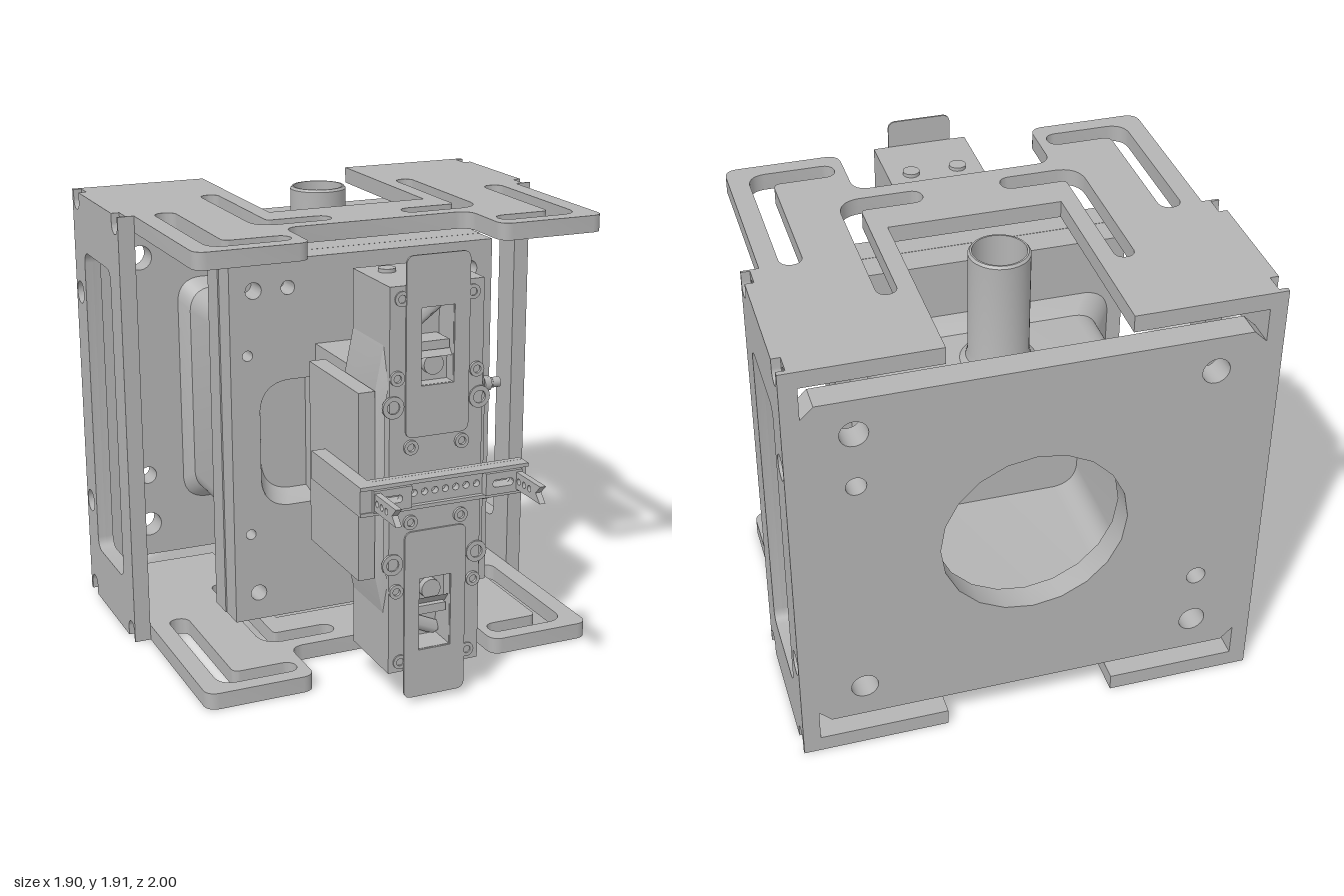
import * as THREE from 'three';
import { toCreasedNormals } from 'three/addons/utils/BufferGeometryUtils.js';

const MID = 0.94; // height of the horizontal symmetry plane

export function createModel() {
  const root = new THREE.Group();
  root.name = 'opticalMount';
  const metal = new THREE.MeshStandardMaterial({ color: 0xb4b4b4, side: THREE.DoubleSide });
  metal.name = 'grey metal';

  const add = (name, geo, x = 0, y = 0, z = 0) => {
    const m = new THREE.Mesh(geo, metal);
    m.name = name;
    m.position.set(x, y, z);
    root.add(m);
    return m;
  };
  // box from its limits
  const box = (name, x0, x1, y0, y1, z0, z1) =>
    add(name, new THREE.BoxGeometry(x1 - x0, y1 - y0, z1 - z0), (x0 + x1) / 2, (y0 + y1) / 2, (z0 + z1) / 2);
  // closed outline from [x, y, cornerRadius] points, always anticlockwise
  const poly = (points) => {
    const p = points.map(([x, y, r = 0]) => ({ v: new THREE.Vector2(x, y), r }));
    if (THREE.ShapeUtils.area(p.map((q) => q.v)) < 0) p.reverse();
    const s = new THREE.Shape();
    p.forEach(({ v, r }, i) => {
      const toward = (o) => v.clone().add(o.clone().sub(v).setLength(r));
      const a = toward(p[(i + p.length - 1) % p.length].v), b = toward(p[(i + 1) % p.length].v);
      if (i === 0) s.moveTo(a.x, a.y); else s.lineTo(a.x, a.y);
      if (r) s.quadraticCurveTo(v.x + (a.x + b.x - 2 * v.x) * 0.08, v.y + (a.y + b.y - 2 * v.y) * 0.08, b.x, b.y);
    });
    s.closePath();
    return s;
  };
  const rect = (x0, x1, y0, y1, r = 0) => poly([[x0, y0, r], [x1, y0, r], [x1, y1, r], [x0, y1, r]]);
  const circle = (x, y, r) => new THREE.Shape().absarc(x, y, r, 0, Math.PI * 2, false);
  const extrude = (shape, depth, holes = []) => {
    shape.holes.push(...holes);
    return toCreasedNormals(new THREE.ExtrudeGeometry(shape, { depth, bevelEnabled: false, curveSegments: 10 }), 0.6);
  };
  // sloping band between two outlines with equal point counts
  const band = (a, z0, b, z1) => {
    const pa = a.getPoints(8), pb = b.getPoints(8), pos = [], idx = [];
    pa.forEach((p, i) => {
      pos.push(p.x, p.y, z0, pb[i].x, pb[i].y, z1);
      if (i) idx.push(2 * i - 2, 2 * i, 2 * i - 1, 2 * i, 2 * i + 1, 2 * i - 1);
    });
    const g = new THREE.BufferGeometry();
    g.setAttribute('position', new THREE.Float32BufferAttribute(pos, 3));
    g.setIndex(idx);
    return toCreasedNormals(g, 0.6);
  };
  // cylinder between two points
  const rod = (name, from, to, r, sides = 24) => {
    const a = new THREE.Vector3(...from), b = new THREE.Vector3(...to), d = b.clone().sub(a);
    const m = add(name, new THREE.CylinderGeometry(r, r, d.length(), sides));
    m.position.copy(a).lerp(b, 0.5);
    m.quaternion.setFromUnitVectors(new THREE.Vector3(0, 1, 0), d.normalize());
    return m;
  };
  const flip = (y, s) => MID + s * (y - MID);

  // top and bottom forked plates, drawn as x and -z
  const half = [[0.35, 1], [0.88, 1], [0.88, -0.43, 0.05], [0.41, -0.43, 0.05], [0.41, -0.14, 0.06]];
  const forkOutline = [...half, ...half.map(([x, y, r]) => [-x, y, r]).reverse(), [-0.35, 0.17], [0.35, 0.17]];
  const forkSlots = [];
  for (const s of [-1, 1]) {
    forkSlots.push(
      poly([[0.71, 0.33, 0.044], [0.8, 0.33, 0.044], [0.8, -0.36, 0.07], [0.45, -0.36, 0.044],
        [0.45, -0.27, 0.044], [0.71, -0.27, 0.03]].map(([x, y, r]) => [s * x, y, r])),
      poly([[0.42, 0.62, 0.039], [0.5, 0.62, 0.039], [0.5, -0.07, 0.09], [0.16, -0.07, 0.044],
        [0.16, 0.02, 0.044], [0.42, 0.02, 0.02]].map(([x, y, r]) => [s * x, y, r])));
  }
  for (const [name, y] of [['bottomPlate', 0], ['topPlate', 1.81]]) {
    add(name, extrude(poly(forkOutline), 0.07, forkSlots).rotateX(-Math.PI / 2), 0, y, 0);
  }

  // side plates: inner layer, and outer layer with counterbores and edge notches
  const sideWindow = () => rect(0.46, 0.85, 0.25, 1.63, 0.05);
  const screwSpots = [[0.37, 0.04], [0.94, 0.04], [0.94, 0.45], [0.94, 1.43], [0.37, 1.84], [0.94, 1.84]];
  const notched = new THREE.Shape().moveTo(0.32, 0);
  for (const u of [0.37, 0.94]) {
    notched.lineTo(u - 0.04, 0).lineTo(u - 0.04, 0.04);
    notched.absarc(u, 0.04, 0.04, Math.PI, 0, true).lineTo(u + 0.04, 0);
  }
  notched.lineTo(1, 0).lineTo(1, 1.88);
  for (const u of [0.94, 0.37]) {
    notched.lineTo(u + 0.04, 1.88).lineTo(u + 0.04, 1.84);
    notched.absarc(u, 1.84, 0.04, 0, Math.PI, true).lineTo(u - 0.04, 1.88);
  }
  notched.lineTo(0.32, 1.88).closePath();
  const inner = extrude(rect(0.32, 1, 0, 1.88), 0.035,
    [sideWindow(), ...screwSpots.map(([u, v]) => circle(u, v, 0.022))]).rotateY(Math.PI / 2);
  const outer = extrude(notched, 0.035,
    [sideWindow(), circle(0.94, 0.45, 0.05), circle(0.94, 1.43, 0.05)]).rotateY(Math.PI / 2);
  for (const [side, a, b] of [['left', 0.88, 0.915], ['right', -0.915, -0.95]]) {
    add(side + 'SidePlateInner', inner, a);
    add(side + 'SidePlateOuter', outer, b);
  }

  // back plate with a large round opening
  const backOutline = poly([[-0.83, 0.16], [0.83, 0.16], [0.88, 0.21], [0.88, 1.67], [0.83, 1.72],
    [-0.83, 1.72], [-0.88, 1.67], [-0.88, 0.21]]);
  add('backPlate', extrude(backOutline, 0.11, [circle(0, MID, 0.375),
    circle(0.69, 1.33, 0.04), circle(-0.69, 0.55, 0.04),
    ...[-0.69, 0.69].flatMap((x) => [circle(x, 1.57, 0.055), circle(x, 0.31, 0.055)])]), 0, 0, -1);

  // hollow housing with flared ends
  const housing = (e) => rect(-0.48 - e, 0.48 + e, 0.45 - e, 1.42 + e, 0.1);
  add('housing', extrude(housing(0), 0.65, [housing(-0.04)]), 0, 0, -0.89);
  add('housingFrontFlare', band(housing(0), -0.3, housing(0.06), -0.24));
  add('housingBackFlare', band(housing(0), -0.84, housing(0.04), -0.89));

  // upright outlet tube
  const tubeProfile = [[0.15, 1.42], [0.127, 1.44], [0.12, 1.47], [0.12, 1.9], [0.112, 1.91], [0.105, 1.91],
    [0.105, 1.44], [0, 1.44]].map(([r, y]) => new THREE.Vector2(r, y));
  add('outletTube', toCreasedNormals(new THREE.LatheGeometry(tubeProfile, 40), 0.6), 0, 0, -0.49);

  // two-layer middle plate with a tapered window recess
  const plateHoles = [];
  for (const s of [-1, 1]) {
    plateHoles.push(circle(s * 0.34, flip(1.6, -s), 0.03));
    for (const x of [-1, 1]) plateHoles.push(circle(x * 0.49, flip(1.6, s), 0.035), circle(x * 0.52, flip(1.33, s), 0.022));
  }
  const recess = (e) => rect(-0.47 + e, 0.47 - e, 0.66 + e * 0.7, 1.21 - e * 0.7, 0.12);
  add('middlePlateFront', extrude(rect(-0.595, 0.595, 0.16, 1.72), 0.118, [recess(0), ...plateHoles]), 0, 0, -0.118);
  box('middlePlateBack', -0.6, 0.6, 0.16, 1.72, -0.24, -0.12);
  add('recessTaper', band(recess(0), 0, recess(0.045), -0.119));

  // central head: neck, tapered flanks and tall front block
  box('headNeck', -0.22, 0.22, 0.53, 1.35, -0.12, 0.34);
  const flank = [[0.2, 0.39], [0.24, 0.58], [0.24, 1.3], [0.2, 1.5]];
  const flankShape = poly([...flank, ...flank.map(([x, y]) => [-x, y]).reverse()]);
  add('headFlanks', extrude(flankShape, 0.29), 0, 0, 0.34);
  const inset = (k) => poly([...flank, ...flank.map(([x, y]) => [-x, y]).reverse()]
    .map(([x, y]) => [x * k, MID + (y - MID) * k]));
  add('headFlankChamfer', band(inset(1), 0.63, inset(0.9), 0.675));
  box('headBlock', -0.2, 0.2, 0.145, 1.74, 0.34, 0.56);
  const pockets = [-1, 1].map((s) => rect(-0.07, 0.07, flip(1.34, s), flip(1.65, s)));
  const headOutline = rect(-0.2, 0.2, 0.145, 1.74);
  add('headFront', extrude(headOutline, 0.125, pockets), 0, 0, 0.56);

  const ring = extrude(circle(0, 0, 0.03), 0.012, [circle(0, 0, 0.016)]);
  const bigRing = extrude(circle(0, 0, 0.045), 0.012, [circle(0, 0, 0.026)]);
  for (const s of [1, -1]) {
    const tag = s > 0 ? 'upper' : 'lower';
    const y = (v) => flip(v, s);

    // thin front shutter and the clamp behind its window
    add(tag + 'Shutter', extrude(rect(-0.135, 0.135, y(1.135), y(1.855), 0.03), 0.008,
      [rect(-0.07, 0.07, y(1.34), y(1.65))]), 0, 0, 0.688);
    const clamp = box(tag + 'ClampBar', -0.06, 0.06, MID - 0.018, MID + 0.018, 0.56, 0.67);
    clamp.position.y = y(1.49);
    rod(tag + 'ClampPost', [0, y(1.35), 0.6], [0, y(1.48), 0.6], 0.014);
    rod(tag + 'ClampKnob', [0, y(1.41), 0.56], [0, y(1.41), 0.66], 0.042);
    const wedge = rod(tag + 'ClampWedge', [-0.06, y(1.56), 0.57], [0.06, y(1.63), 0.57], 0.03, 4);
    wedge.rotation.z += 0.1;

    for (const x of [-1, 1]) {
      add(tag + 'Screw', ring, x * 0.17, y(1.38), 0.685);
      add(tag + 'Screw', ring, x * 0.11, y(1.095), 0.685);
      add(tag + 'Screw', ring, x * 0.15, y(1.69), 0.68);
      add(tag + 'Boss', bigRing, x * 0.185, y(1.265), 0.68);
      rod(tag + 'EndScrew', [x * 0.1, y(1.735), 0.44], [x * 0.1, y(1.755), 0.44], 0.035);
    }

    // rear sensor block with pin
    const sensor = extrude(rect(-0.11, 0.11, -0.035, 0.035, 0.015), 0.18);
    add(tag + 'SensorBlock', sensor, 0, y(1.415), 0.16);
    rod(tag + 'SensorPost', [-0.06, y(1.355), 0.24], [-0.06, y(1.475), 0.24], 0.07);
    rod(tag + 'SensorCollar', [0.05, y(1.415), 0.12], [0.05, y(1.415), 0.17], 0.032);
    rod(tag + 'SensorPin', [0.05, y(1.415), 0.055], [0.05, y(1.415), 0.13], 0.01, 12);

    // elbow hose fitting on the left flank
    rod(tag + 'FittingBody', [0.2, y(1.18), 0.29], [0.38, y(1.18), 0.29], 0.04);
    rod(tag + 'FittingStem', [0.37, y(1.18), 0.29], [0.45, y(1.18), 0.29], 0.02);
    rod(tag + 'FittingNut', [0.41, y(1.18), 0.29], [0.44, y(1.18), 0.29], 0.032, 6);
    rod(tag + 'FittingTip', [0.45, y(1.18), 0.29], [0.485, y(1.18), 0.29], 0.022);
    rod(tag + 'FittingNeck', [0.32, y(1.18), 0.295], [0.32, y(1.25), 0.275], 0.042);
    const barrel = [[0.03, 0], [0.055, 0], [0.055, 0.1], [0.05, 0.104], [0.055, 0.108], [0.055, 0.12],
      [0.03, 0.12], [0.03, 0.02], [0, 0.02]].map(([r, h]) => new THREE.Vector2(r, h));
    const socket = add(tag + 'FittingSocket', toCreasedNormals(new THREE.LatheGeometry(barrel, 28), 0.6),
      0.32, y(1.23), 0.28);
    socket.rotation.x = s > 0 ? -0.3 : Math.PI + 0.3;
  }

  // side rail and the L-shaped arm carrying the front bar
  box('sideRail', -0.31, -0.24, 0.55, 1.325, 0.15, 0.64);
  box('armSide', -0.37, -0.31, 0.88, 1.0, 0.31, 0.79);
  const barHoles = [];
  for (let i = -3; i <= 3; i++) barHoles.push(circle(i * 0.045, MID, 0.014));
  for (const s of [-1, 1]) barHoles.push(rect(s * 0.235 - 0.06, s * 0.235 + 0.06, 0.925, 0.955, 0.014));
  add('frontBar', extrude(rect(-0.37, 0.355, 0.88, 1.0), 0.03, barHoles), 0, 0, 0.745);
  box('barBacking', -0.37, 0.355, 0.88, 1.0, 0.72, 0.744);
  for (const y of [0.88, 0.985]) box('barRail', -0.37, 0.355, y, y + 0.015, 0.77, 0.795);

  // pronged end pieces with holes and a V-cut tip
  const prong = extrude(poly([[-0.79, 0.905], [-0.79, 0.975], [-1, 0.975], [-0.965, MID], [-1, 0.905]]), 0.025,
    [-0.83, -0.872, -0.914].map((u) => circle(u, MID, 0.013))).rotateY(Math.PI / 2);
  for (const s of [-1, 1]) {
    add('prong', prong, s * 0.305 - 0.0125);
    add('prongFoot', extrude(rect(-0.08, 0.08, 0.895, 0.985), 0.035,
      [rect(-0.05, 0.04, 0.925, 0.955, 0.014)]), s * 0.24, 0, 0.775);
  }

  return root;
}
